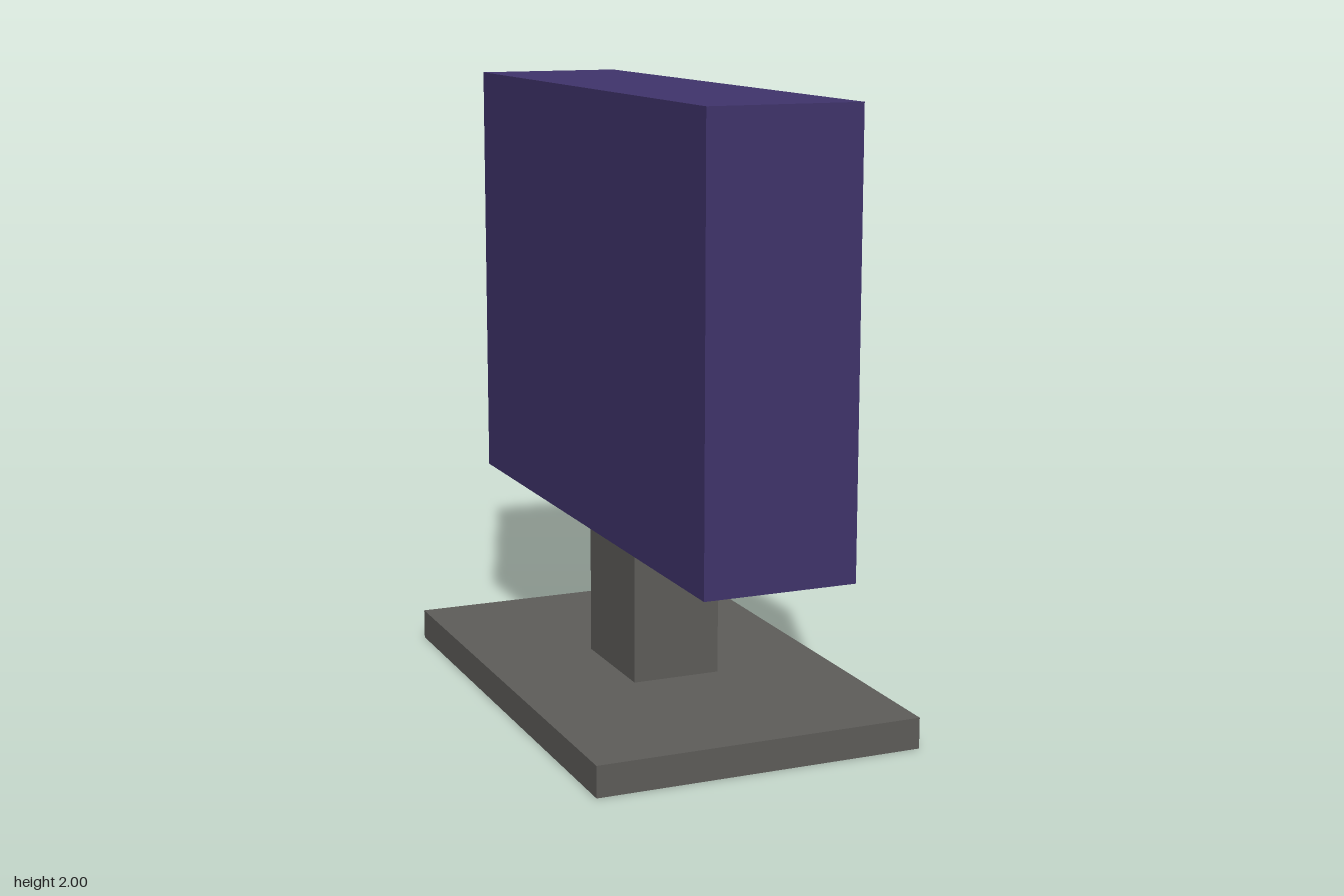
import * as THREE from 'three';

const casing = new THREE.MeshStandardMaterial({ color: 0x40346c });
casing.name = 'purple casing';
const standGrey = new THREE.MeshStandardMaterial({ color: 0x5e5d5a });
standGrey.name = 'dark grey stand';
const screenGrey = new THREE.MeshStandardMaterial({ color: 0xb3b3b3 });
screenGrey.name = 'light grey screen';

// Box from its minimum and maximum corners
function block(name, material, min, max) {
  const size = max.map((v, i) => v - min[i]);
  const mesh = new THREE.Mesh(new THREE.BoxGeometry(...size), material);
  mesh.position.set(...max.map((v, i) => (v + min[i]) / 2));
  mesh.name = name;
  return mesh;
}

// Rectangle outline added to a shape or path
function rect(path, x0, y0, x1, y1) {
  path.moveTo(x0, y0).lineTo(x1, y0).lineTo(x1, y1).lineTo(x0, y1).closePath();
  return path;
}

export function createModel() {
  const group = new THREE.Group();
  group.name = 'monitor';
  const front = 0.245, recess = 0.04;

  // Foot and neck
  group.add(block('base', standGrey, [-0.535, 0, -0.845], [0.535, 0.1, 0.845]));
  group.add(block('neck', standGrey, [-0.147, 0.1, -0.193], [0.147, 0.59, 0.193]));

  // Housing behind the screen
  group.add(block('housing', casing, [-front, 0.59, -0.955], [front - recess, 2, 0.955]));

  // Raised bezel, its opening facing +x
  const outline = rect(new THREE.Shape(), -0.955, 0.59, 0.955, 2);
  outline.holes.push(rect(new THREE.Path(), -0.885, 0.645, 0.88, 1.948));
  const bezel = new THREE.Mesh(
    new THREE.ExtrudeGeometry(outline, { depth: recess, bevelEnabled: false }), casing);
  bezel.rotation.y = Math.PI / 2;
  bezel.position.x = front - recess;
  bezel.name = 'bezel';
  group.add(bezel);

  // Recessed screen
  group.add(block('screen', screenGrey,
    [front - recess, 0.645, -0.873], [front - recess + 0.006, 1.938, 0.885]));

  return group;
}
